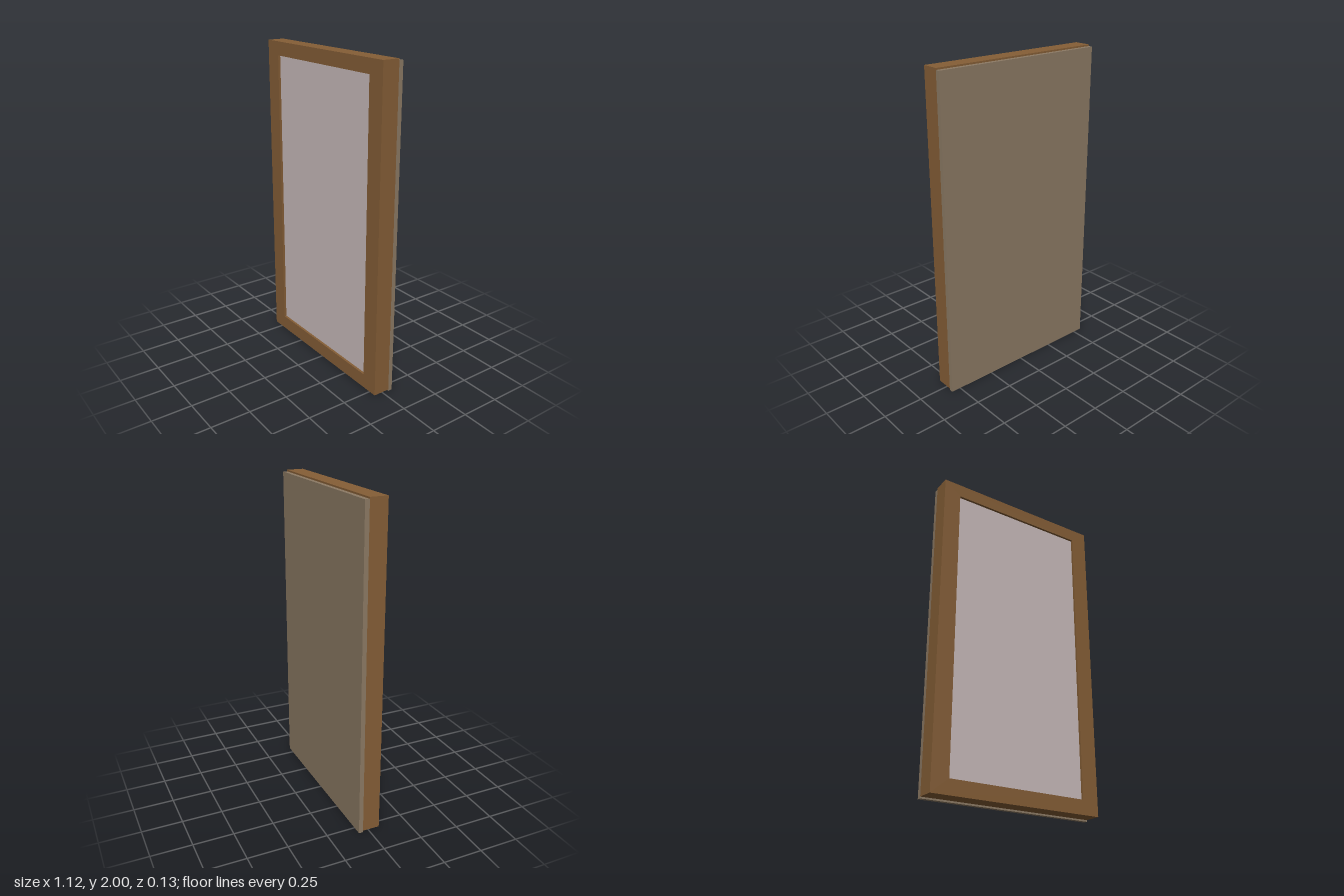
import * as THREE from 'three';

const HALF_W = 0.56, IN_W = 0.45;
const BOTTOM = 0.01, TOP = 2, IN_BOTTOM = 0.1, IN_TOP = 1.915;
const FRAME_BACK = -0.04, FRAME_FRONT = 0.067;

const material = (color) => new THREE.MeshStandardMaterial({ color });

// Extrude a front outline over the depth of the frame
function bar(name, points, mat) {
  const shape = new THREE.Shape(points.map(([x, y]) => new THREE.Vector2(x, y)));
  const geometry = new THREE.ExtrudeGeometry(shape, {
    depth: FRAME_FRONT - FRAME_BACK,
    bevelEnabled: false,
  });
  geometry.translate(0, 0, FRAME_BACK);
  const mesh = new THREE.Mesh(geometry, mat);
  mesh.name = name;
  return mesh;
}

// Box given by its limits
function slab(name, halfWidth, y0, y1, z0, z1, mat) {
  const mesh = new THREE.Mesh(new THREE.BoxGeometry(halfWidth * 2, y1 - y0, z1 - z0), mat);
  mesh.position.set(0, (y0 + y1) / 2, (z0 + z1) / 2);
  mesh.name = name;
  return mesh;
}

export function createModel() {
  const model = new THREE.Group();
  model.name = 'framedMirror';
  const wood = material(0x855e36);

  // Wooden surround with mitred corners
  const frame = new THREE.Group();
  frame.name = 'frame';
  frame.add(
    bar('topRail', [[-HALF_W, TOP], [-IN_W, IN_TOP], [IN_W, IN_TOP], [HALF_W, TOP]], wood),
    bar('bottomRail', [[-HALF_W, BOTTOM], [HALF_W, BOTTOM], [IN_W, IN_BOTTOM], [-IN_W, IN_BOTTOM]], wood)
  );
  for (const [name, s] of [['leftStile', 1], ['rightStile', -1]]) {
    frame.add(bar(name, [
      [s * HALF_W, BOTTOM], [s * HALF_W, TOP], [s * IN_W, IN_TOP], [s * IN_W, IN_BOTTOM],
    ], wood));
  }
  model.add(frame);

  // Pane set slightly behind the face of the frame
  model.add(slab('mirrorPane', IN_W, IN_BOTTOM, IN_TOP, 0.03, 0.052, material(0xc8baba)));

  // Board closing the back, set a little lower than the frame
  model.add(slab('backBoard', HALF_W, 0, 1.99, -0.067, FRAME_BACK, material(0x8c7a64)));

  return model;
}
